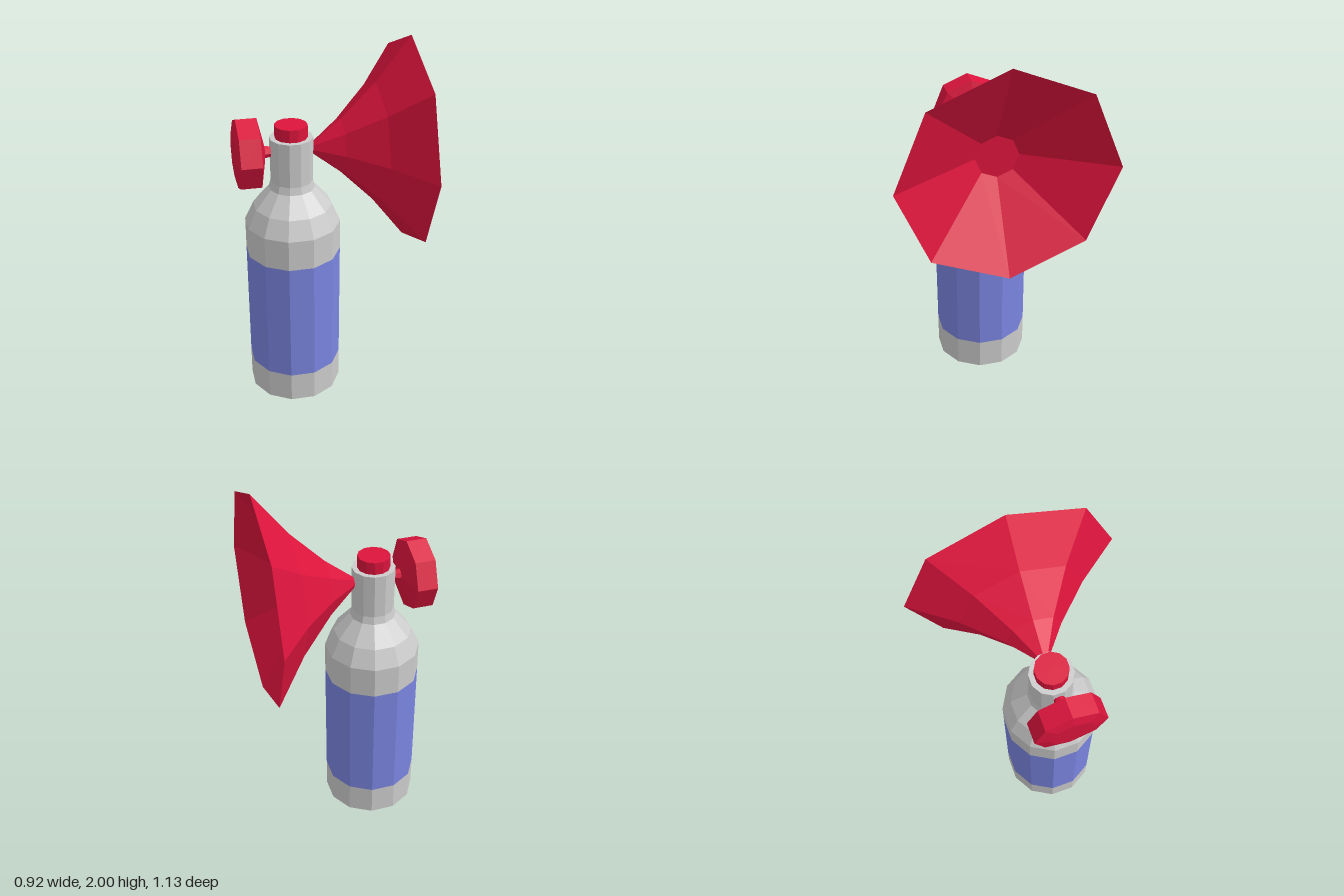
import * as THREE from 'three';

const BOTTLE_X = -0.16; // bottle axis
const HORN_Y = 1.437;   // axis shared by horn and knob

const material = (color) => new THREE.MeshStandardMaterial({ color, flatShading: true });
const grey = material(0xcccccc);
const red = material(0xdc143c);
const blue = material(0x7a85e0);

function lathe(name, profile, sides, start, mat) {
  const points = profile.map(([r, y]) => new THREE.Vector2(r, y));
  const mesh = new THREE.Mesh(new THREE.LatheGeometry(points, sides, start), mat);
  mesh.name = name;
  return mesh;
}

// Twelve-sided upright part; radii are measured to the flats
function upright(name, profile, mat) {
  const k = 1 / Math.cos(Math.PI / 12);
  const mesh = lathe(name, profile.map(([r, y]) => [r * k, y]), 12, Math.PI / 12, mat);
  mesh.position.x = BOTTLE_X;
  return mesh;
}

// Eight-sided part turned about the x axis; profile is [radius, x]
function sideways(name, profile, mat) {
  const mesh = lathe(name, profile, 8, 0, mat);
  mesh.rotation.z = -Math.PI / 2;
  mesh.position.y = HORN_Y;
  return mesh;
}

export function createModel() {
  const model = new THREE.Group();
  model.name = 'airHorn';

  // Canister: recessed base, coloured band, shoulder and neck
  model.add(upright('canisterBase', [[0, 0.03], [0.232, 0.03], [0.238, 0], [0.247, 0], [0.247, 0.17]], grey));
  model.add(upright('labelBand', [[0.247, 0.17], [0.247, 0.86]], blue));
  model.add(upright('shoulderAndNeck', [
    [0.247, 0.86], [0.247, 1.03], [0.202, 1.13], [0.118, 1.23],
    [0.108, 1.27], [0.11, 1.51], [0, 1.51],
  ], grey));

  // Push button on top of the neck
  model.add(upright('button', [[0.083, 1.5], [0.083, 1.577], [0, 1.577]], red));

  // Flared horn with a closed inner cone
  model.add(sideways('horn', [
    [0, -0.07], [0.022, -0.06], [0.15, 0.1], [0.333, 0.28],
    [0.565, 0.457], [0.115, 0.2], [0, 0.2],
  ], red));

  // Diaphragm knob and its stem on the opposite side
  model.add(sideways('knob', [
    [0, -0.459], [0.12, -0.459], [0.19, -0.443], [0.19, -0.335], [0.05, -0.303], [0, -0.303],
  ], red));
  model.add(sideways('knobStem', [[0.036, -0.31], [0.024, -0.25]], red));

  return model;
}
